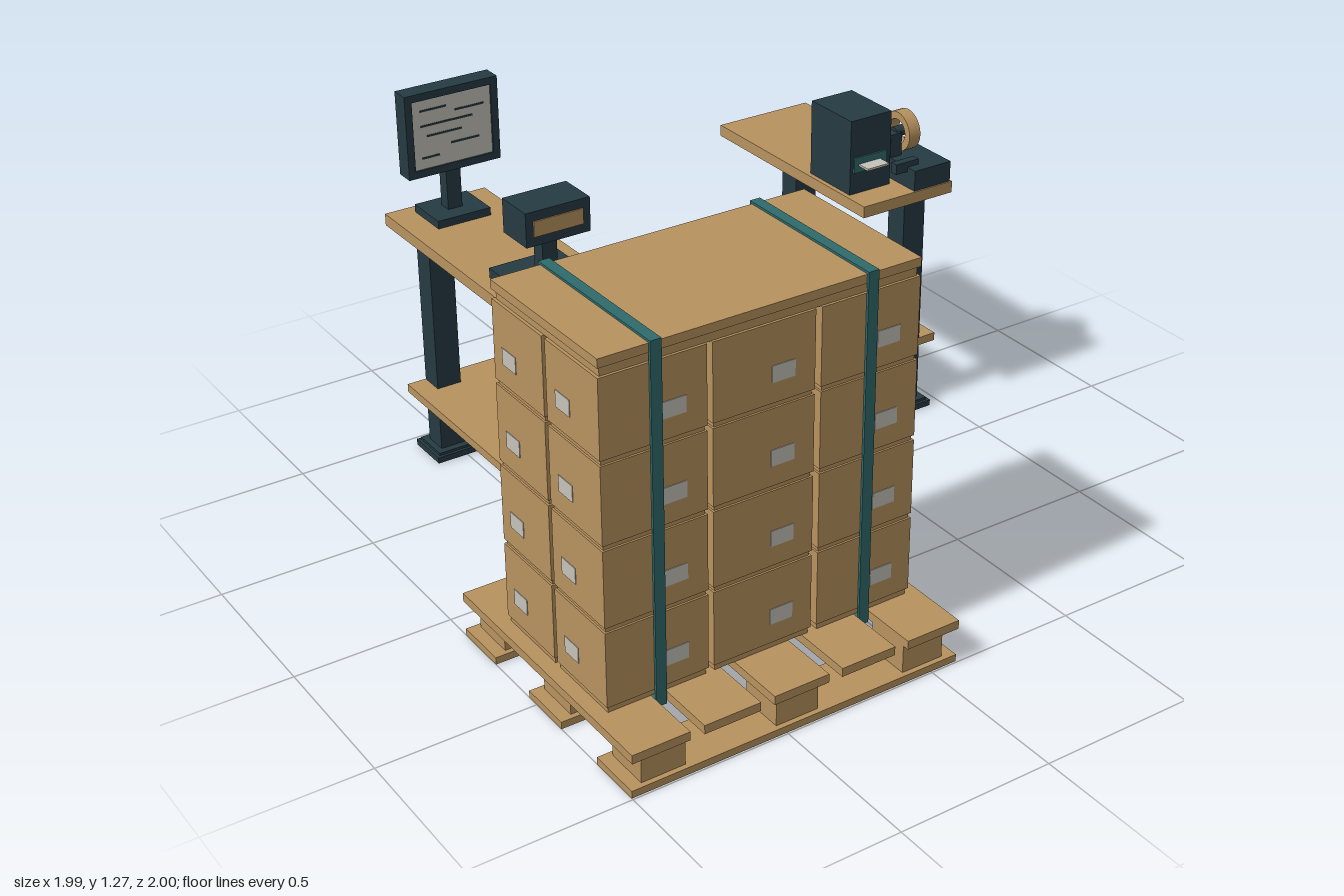
import * as THREE from 'three';

const material = (name, color) => {
  const m = new THREE.MeshStandardMaterial({ color });
  m.name = name;
  return m;
};

export function createModel() {
  const root = new THREE.Group();
  root.name = 'packingStation';
  const tan = material('cardboard and wood', 0xb8925f);
  const teal = material('teal', 0x2f6b6c);
  const dark = material('dark slate', 0x263b42);
  const pale = material('pale label', 0xc6c2ba);

  const group = (name, parent = root) => {
    const g = new THREE.Group();
    g.name = name;
    parent.add(g);
    return g;
  };
  // Box given by its limits on each axis
  const box = (parent, name, mat, [x0, x1], [y0, y1], [z0, z1]) => {
    const m = new THREE.Mesh(new THREE.BoxGeometry(x1 - x0, y1 - y0, z1 - z0), mat);
    m.position.set((x0 + x1) / 2, (y0 + y1) / 2, (z0 + z1) / 2);
    m.name = name;
    parent.add(m);
    return m;
  };
  const span = (c, w) => [c - w / 2, c + w / 2];

  // Pallet: runners along x, blocks, deck boards along z
  const pallet = group('pallet');
  for (const z of [0.183, 0.547, 0.907]) {
    box(pallet, 'runner', tan, [-1, 0.09], [0.005, 0.028], span(z, 0.175));
    for (const x of [-0.89, -0.455, -0.02]) box(pallet, 'block', tan, span(x, 0.14), [0.028, 0.12], span(z, 0.142));
  }
  for (let i = 0; i < 5; i++) box(pallet, 'deckBoard', tan, span(-0.909 + i * 0.227, 0.182), [0.12, 0.148], [0.09, 1]);

  // Cartons: 3 x 2 x 4, each with a narrow rim and labels on the outer faces
  const cartons = group('cartonStack');
  const w = 0.325, d = 0.258, pitch = 0.2535;
  for (let row = 0; row < 4; row++) {
    const y = 0.168 + row * pitch;
    const labelY = [y + 0.062, y + 0.112];
    for (const x of [-0.797, -0.455, -0.11]) {
      for (const z of [0.411, 0.684]) {
        const out = z > 0.5 ? 1 : -1;
        box(cartons, 'carton', tan, span(x, w), [y, y + 0.238], span(z, d));
        box(cartons, 'cartonSeam', tan, span(x, w - 0.012), [y - 0.02, y], span(z, d - 0.012));
        box(cartons, 'label', pale, span(x + 0.06 * out, 0.075), labelY, span(z + out * d / 2, 0.004));
        if (x !== -0.455) {
          const side = x > -0.455 ? 1 : -1;
          box(cartons, 'label', pale, span(x + side * w / 2, 0.004), labelY, span(z + 0.047 * side, 0.07));
        }
      }
    }
  }
  box(cartons, 'topSeam', tan, [-0.95, 0.045], [1.166, 1.195], [0.29, 0.805]);
  box(cartons, 'topSheet', tan, [-0.96, 0.053], [1.195, 1.222], [0.28, 0.814]);

  // Straps wrapped round cartons and deck
  for (const x of [-0.793, -0.112]) {
    const strap = group('strap');
    for (const z of [0.277, 0.818]) box(strap, 'strapSide', teal, span(x, 0.034), [0.115, 1.23], span(z, 0.008));
    for (const y of [0.117, 1.227]) box(strap, 'strapEnd', teal, span(x, 0.034), span(y, 0.007), [0.273, 0.822]);
  }

  // Two mirrored workbenches
  for (const [cx, side] of [[-0.4625, -1], [0.8125, 1]]) {
    const bench = group('workbench');
    const legX = cx + side * 0.071;
    box(bench, 'benchTop', tan, span(cx, 0.357), [0.797, 0.836], [-1, -0.19]);
    box(bench, 'shelf', tan, span(cx, 0.357), [0.23, 0.258], [-0.925, -0.245]);
    for (const z of [-0.286, -0.883]) {
      box(bench, 'leg', dark, span(legX, 0.084), [0.03, 0.797], span(z, 0.082));
      box(bench, 'foot', dark, span(legX, 0.145), [0.005, 0.026], span(z, 0.15));
      box(bench, 'footCap', dark, span(legX, 0.125), [0.026, 0.035], span(z, 0.13));
    }
    box(bench, 'upperRail', teal, span(legX, 0.06), [0.733, 0.79], [-0.845, -0.325]);
    box(bench, 'lowerRail', teal, span(legX, 0.06), [0.2, 0.23], [-0.845, -0.325]);
  }
  box(root, 'crossBeam', teal, [-0.5, 0.845], [0.14, 0.2], [-0.28, -0.21]);

  // Monitor
  const monitor = group('monitor');
  box(monitor, 'monitorBase', dark, [-0.555, -0.37], [0.836, 0.862], [-0.96, -0.805]);
  box(monitor, 'monitorStem', dark, span(-0.462, 0.05), [0.862, 1.04], [-0.91, -0.865]);
  box(monitor, 'monitorCase', dark, [-0.622, -0.302], [1.0, 1.265], [-0.905, -0.858]);
  for (const x of [-0.61, -0.314]) box(monitor, 'bezelSide', dark, span(x, 0.024), [1.0, 1.275], [-0.91, -0.848]);
  for (const y of [1.012, 1.263]) box(monitor, 'bezelBar', dark, [-0.622, -0.302], span(y, 0.024), [-0.91, -0.848]);
  box(monitor, 'screen', pale, [-0.598, -0.326], [1.024, 1.251], [-0.86, -0.854]);
  [[-0.57, 0.09, 1.215], [-0.45, 0.1, 1.195], [-0.57, 0.18, 1.165], [-0.55, 0.12, 1.13], [-0.47, 0.1, 1.09], [-0.57, 0.06, 1.06]]
    .forEach(([x, len, y]) => box(monitor, 'screenLine', dark, [x, x + len], span(y, 0.006), [-0.855, -0.852]));

  // Display unit on a pedestal
  const unit = group('displayUnit');
  box(unit, 'unitBase', dark, [-0.59, -0.355], [0.836, 0.868], [-0.42, -0.215]);
  box(unit, 'unitStem', dark, span(-0.46, 0.05), [0.868, 1.01], [-0.33, -0.28]);
  box(unit, 'unitHead', dark, [-0.565, -0.348], [1.0, 1.11], [-0.365, -0.23]);
  box(unit, 'unitDisplay', tan, [-0.54, -0.373], [1.03, 1.08], [-0.232, -0.226]);

  // Label printer
  const printer = group('labelPrinter');
  box(printer, 'printerBody', dark, [0.65, 0.81], [0.836, 1.09], [-0.5, -0.288]);
  box(printer, 'printerSlot', teal, [0.662, 0.792], [0.91, 0.962], [-0.289, -0.282]);
  box(printer, 'printedLabel', pale, [0.68, 0.765], [0.932, 0.939], [-0.285, -0.235]);

  // Tape dispenser with a roll
  const tape = group('tapeDispenser');
  box(tape, 'dispenserBase', dark, [0.84, 0.985], [0.836, 0.906], [-0.487, -0.195]);
  box(tape, 'dispenserArm', dark, [0.795, 0.885], [0.89, 0.925], [-0.262, -0.235]);
  box(tape, 'rollSupport', dark, [0.84, 0.885], [0.9, 0.985], [-0.375, -0.325]);
  const ring = [[0.042, -0.022], [0.067, -0.022], [0.067, 0.022], [0.042, 0.022], [0.042, -0.022]];
  // Separate rings of faces keep the roll's edges sharp
  for (let i = 0; i < 4; i++) {
    const pts = [ring[i], ring[i + 1]].map(([r, h]) => new THREE.Vector2(r, h));
    const face = new THREE.Mesh(new THREE.LatheGeometry(pts, 24), tan);
    face.name = 'tapeRoll';
    face.rotation.z = Math.PI / 2;
    face.position.set(0.907, 0.98, -0.352);
    tape.add(face);
  }
  const axle = new THREE.Mesh(new THREE.CylinderGeometry(0.018, 0.018, 0.05, 16), dark);
  axle.name = 'rollAxle';
  axle.rotation.z = Math.PI / 2;
  axle.position.set(0.895, 0.98, -0.352);
  tape.add(axle);

  return root;
}
